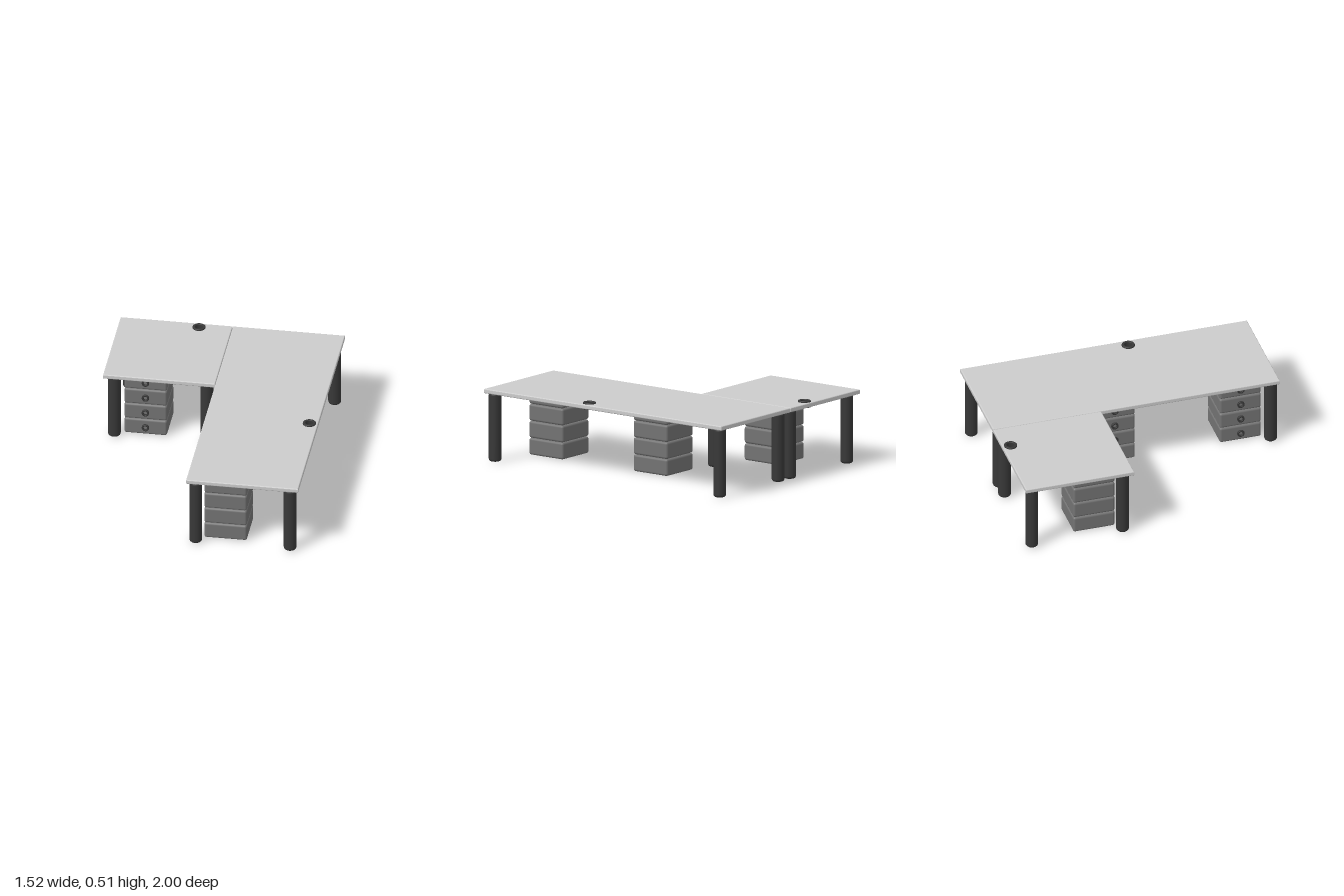
import * as THREE from 'three';
import { RoundedBoxGeometry } from 'three/addons/geometries/RoundedBoxGeometry.js';

const material = (name, color) => {
  const m = new THREE.MeshStandardMaterial({ color });
  m.name = name;
  return m;
};

export function createModel() {
  const desk = new THREE.Group();
  desk.name = 'cornerDesk';
  const topGrey = material('light grey top', 0xcccccc);
  const drawerGrey = material('mid grey drawers', 0x737373);
  const darkGrey = material('dark grey legs and fittings', 0x383838);

  const add = (parent, name, geometry, mat, x = 0, y = 0, z = 0) => {
    const mesh = new THREE.Mesh(geometry, mat);
    mesh.name = name;
    mesh.position.set(x, y, z);
    parent.add(mesh);
    return mesh;
  };

  // Turned ring with rounded corners, standing on its own y = 0
  const ring = (inner, outer, height, r) => {
    const profile = [];
    const corner = (cx, cy, start) => {
      for (let i = 0; i <= 4; i++) {
        const a = start + (i / 4) * Math.PI / 2;
        profile.push(new THREE.Vector2(cx + r * Math.cos(a), cy + r * Math.sin(a)));
      }
    };
    corner(inner + r, r, Math.PI);
    corner(outer - r, r, Math.PI * 1.5);
    corner(outer - r, height - r, 0);
    corner(inner + r, height - r, Math.PI / 2);
    profile.push(profile[0].clone());
    return new THREE.LatheGeometry(profile, 32);
  };

  // Tabletops with a cable hole and softly rounded edges
  const bevel = 0.007, bottom = 0.467, thick = 0.031;
  const addTop = (name, x0, x1, z0, z1, hx, hz) => {
    const s = new THREE.Shape();
    // Shape y is -z, so that it lies flat after turning
    s.moveTo(x0 + bevel, -z1 + bevel);
    s.lineTo(x1 - bevel, -z1 + bevel);
    s.lineTo(x1 - bevel, -z0 - bevel);
    s.lineTo(x0 + bevel, -z0 - bevel);
    s.closePath();
    const hole = new THREE.Path();
    hole.absarc(hx, -hz, 0.037, 0, Math.PI * 2, true);
    s.holes.push(hole);
    const g = new THREE.ExtrudeGeometry(s, {
      depth: thick - 2 * bevel, bevelSize: bevel, bevelThickness: bevel,
      bevelSegments: 4, curveSegments: 24,
    });
    g.rotateX(-Math.PI / 2);
    add(desk, name, g, topGrey, 0, bottom + bevel, 0);
    add(desk, name + 'CableGrommet', ring(0.026, 0.044, 0.047, 0.005), darkGrey, hx, 0.461, hz);
  };
  addTop('mainTop', 0.001, 0.758, -1, 1, 0.7, 0.155);
  addTop('returnTop', -0.758, -0.001, -1, -0.246, -0.22, -0.945);

  // Round legs with softened ends
  const legProfile = [new THREE.Vector2(0, 0)];
  const legR = 0.043, soft = 0.018, legH = 0.468;
  for (const [cy, start] of [[soft, -Math.PI / 2], [legH - soft, 0]]) {
    for (let i = 0; i <= 5; i++) {
      const a = start + (i / 5) * Math.PI / 2;
      legProfile.push(new THREE.Vector2(legR - soft + soft * Math.cos(a), cy + soft * Math.sin(a)));
    }
  }
  legProfile.push(new THREE.Vector2(0, legH));
  const legGeometry = new THREE.LatheGeometry(legProfile, 32);
  for (const x of [0.06, 0.697])
    for (const z of [-0.94, 0.952]) add(desk, 'mainLeg', legGeometry, darkGrey, x, 0.002, z);
  for (const x of [-0.69, -0.065])
    for (const z of [-0.94, -0.308]) add(desk, 'returnLeg', legGeometry, darkGrey, x, 0.002, z);

  // Stacks of four drawers, each with a ring pull on the front
  const size = 0.288, pitch = 0.1157;
  const drawerGeometry = new RoundedBoxGeometry(size, 0.114, size, 4, 0.015);
  const pullGeometry = ring(0.013, 0.025, 0.016, 0.004);
  pullGeometry.rotateX(Math.PI / 2);
  const addDrawers = (name, x, z, turn) => {
    const stack = new THREE.Group();
    stack.name = name;
    for (let i = 0; i < 4; i++) {
      const y = 0.059 + i * pitch;
      add(stack, 'drawer', drawerGeometry, drawerGrey, 0, y, 0);
      add(stack, 'drawerPull', pullGeometry, darkGrey, 0, y - 0.002, size / 2 - 0.002);
    }
    stack.position.set(x, 0, z);
    stack.rotation.y = turn;
    desk.add(stack);
  };
  addDrawers('returnDrawers', -0.485, -0.486, 0);
  addDrawers('mainFrontDrawers', 0.252, 0.758, -Math.PI / 2);
  addDrawers('mainMiddleDrawers', 0.252, -0.12, -Math.PI / 2);

  return desk;
}
